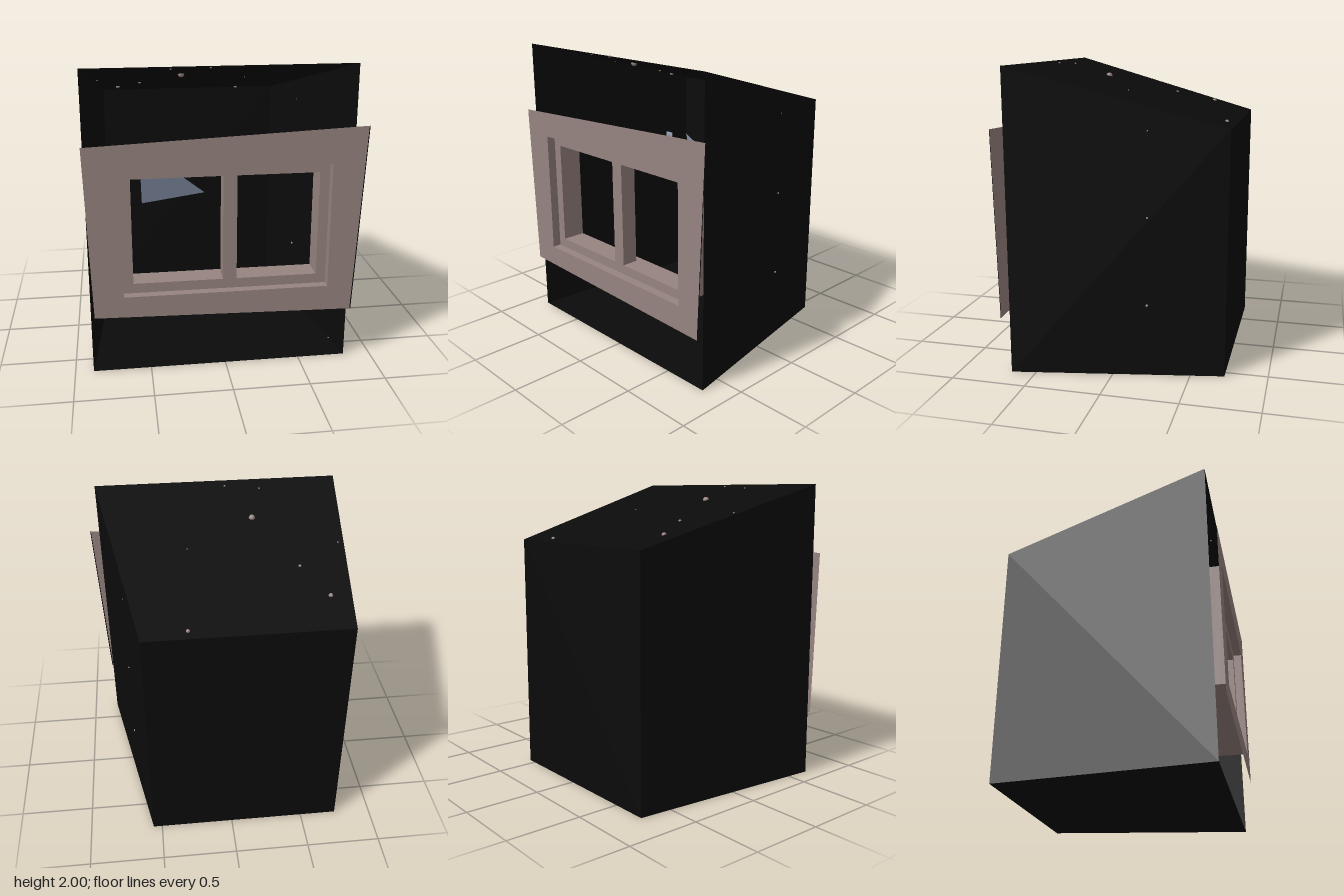
import * as THREE from 'three';

const mat = (name, hex, side = THREE.FrontSide) => {
  const m = new THREE.MeshStandardMaterial({ color: hex, side });
  m.name = name;
  return m;
};

export function createModel() {
  const group = new THREE.Group();
  const night = mat('nightBlack', 0x0b0b0b, THREE.DoubleSide);
  const frame = mat('dustyRose', 0x978480, THREE.DoubleSide);
  const pale = mat('paleBlue', 0x98a5be, THREE.DoubleSide);
  const slate = mat('slate', 0x6c7587, THREE.DoubleSide);

  const add = (name, geo, material, pos = [0, 0, 0], parent = group) => {
    const m = new THREE.Mesh(geo, material);
    m.name = name;
    m.position.set(...pos);
    parent.add(m);
    return m;
  };
  // Flat convex polygon through a few 3D corners
  const face = (...pts) => {
    const g = new THREE.BufferGeometry().setFromPoints(pts.map(p => new THREE.Vector3(...p)));
    const index = [];
    for (let i = 1; i < pts.length - 1; i++) index.push(0, i, i + 1);
    g.setIndex(index);
    g.computeVertexNormals();
    return g;
  };
  const boxBetween = (name, x0, x1, y0, y1, z0, z1, parent) =>
    add(name, new THREE.BoxGeometry(x1 - x0, y1 - y0, z1 - z0), frame,
      [(x0 + x1) / 2, (y0 + y1) / 2, (z0 + z1) / 2], parent);

  // Tapered room, open at the front, with a sloping ceiling
  const F = 0.66, B = -0.72;
  const fl = [-0.88, 0, F], fr = [0.82, 0, F], br = [0.56, 0, B], bl = [-0.75, 0, B];
  const FL = [-0.88, 2, F], FR = [0.82, 2, F], BR = [0.56, 1.62, B], BL = [-0.75, 1.62, B];
  add('floor', face(fl, fr, br, bl), night);
  add('ceiling', face(FL, FR, BR, BL), night);
  add('backWall', face(bl, br, BR, BL), night);
  add('leftWall', face(fr, br, BR, FR), night);
  add('rightWall', face(fl, FL, BL, bl), night);

  // Crooked front panel with the window opening
  const X = 0.665, Y0 = 0.55, Y1 = 1.38, Z = 0.719;
  const v = (x, y) => new THREE.Vector2(x, y);
  const panel = new THREE.Shape([v(-0.89, 1.54), v(-0.855, 0.415), v(0.825, 0.375), v(0.885, 1.62)]);
  panel.holes.push(new THREE.Path([v(-X, Y0), v(-X, Y1), v(X, Y1), v(X, Y0)]));
  add('frontPanel', new THREE.ShapeGeometry(panel), frame, [0, 0, Z]);
  add('panelEdge', face([0.825, 0.375, Z], [0.832, 0.375, Z], [0.89, 1.62, Z], [0.885, 1.62, Z]), night);

  // Window: thin reveal, then recessed bars
  const win = new THREE.Group();
  win.name = 'window';
  group.add(win);
  for (const s of [-1, 1]) {
    add('revealSide', face([s * X, Y0, F], [s * X, Y1, F], [s * X, Y1, Z], [s * X, Y0, Z]), frame, [0, 0, 0], win);
    const x = s * 0.6325;
    boxBetween('sideBar', x - 0.0325, x + 0.0325, Y0, Y1, 0.5, F, win);
  }
  for (const [y, a, b] of [[Y0, Y0, 0.615], [Y1, 1.315, Y1]]) {
    add('revealEnd', face([-X, y, F], [X, y, F], [X, y, Z], [-X, y, Z]), frame, [0, 0, 0], win);
    boxBetween('crossBar', -0.6, 0.6, a, b, 0.5, F, win);
  }
  boxBetween('mullion', -0.02, 0.07, 0.615, 1.315, 0.55, F, win);

  // Light tail with a small square lamp and a pebble set into it
  add('tail', face([-0.5, 1.23, -0.47], [-0.485, 0.725, -0.605], [0.03, 0.765, -0.7]), pale);
  add('lamp', new THREE.BoxGeometry(0.062, 0.065, 0.008), pale, [-0.51, 1.235, -0.3]);
  add('lampCentre', new THREE.CircleGeometry(0.014, 8), frame, [-0.51, 1.235, -0.294]);
  add('pebble', new THREE.SphereGeometry(0.04, 12, 8), frame, [-0.39, 1.12, -0.525]).scale.y = 0.6;

  // Ringed planet on a slanted plate
  const planet = new THREE.Group();
  planet.name = 'planet';
  planet.position.set(0.46, 1.21, -0.55);
  group.add(planet);
  add('plate', face([-0.08, -0.07, 0], [0.08, -0.015, 0], [0.08, 0.07, 0], [-0.08, 0.02, 0]), slate, [0, 0, 0], planet);
  const ring = add('ring', new THREE.RingGeometry(0.032, 0.07, 20), frame, [0, 0, 0.004], planet);
  ring.scale.y = 0.55;
  ring.rotation.z = 0.33;
  add('globe', new THREE.SphereGeometry(0.027, 14, 10), pale, [0, 0, 0.01], planet);

  // Small stars set into the ceiling, side wall and interior
  const ceilingY = z => 2 - (F - z) * 0.38 / 1.38;
  const stars = [[0.27, -0.66, 0.013], [-0.64, -0.45, 0.015], [-0.49, -0.19, 0.01], [-0.24, 0.27, 0.022],
    [-0.78, 0, 0.006], [0.22, 0.01, 0.005], [-0.33, 0.56, 0.007], [-0.09, 0.6, 0.008]]
    .map(([x, z, r]) => [x, ceilingY(z), z, r]);
  for (const [y, r] of [[1.61, 0.005], [1.06, 0.007], [0.48, 0.009]]) stars.push([0.654, y, -0.22, r]);
  stars.push([-0.28, 0.39, 0.3, 0.018], [0.61, 0.26, 0.1, 0.005], [0.76, 0.04, 0.5, 0.005]);
  for (const [x, y, z, r] of stars) add('star', new THREE.IcosahedronGeometry(r, 1), frame, [x, y, z]);

  return group;
}
